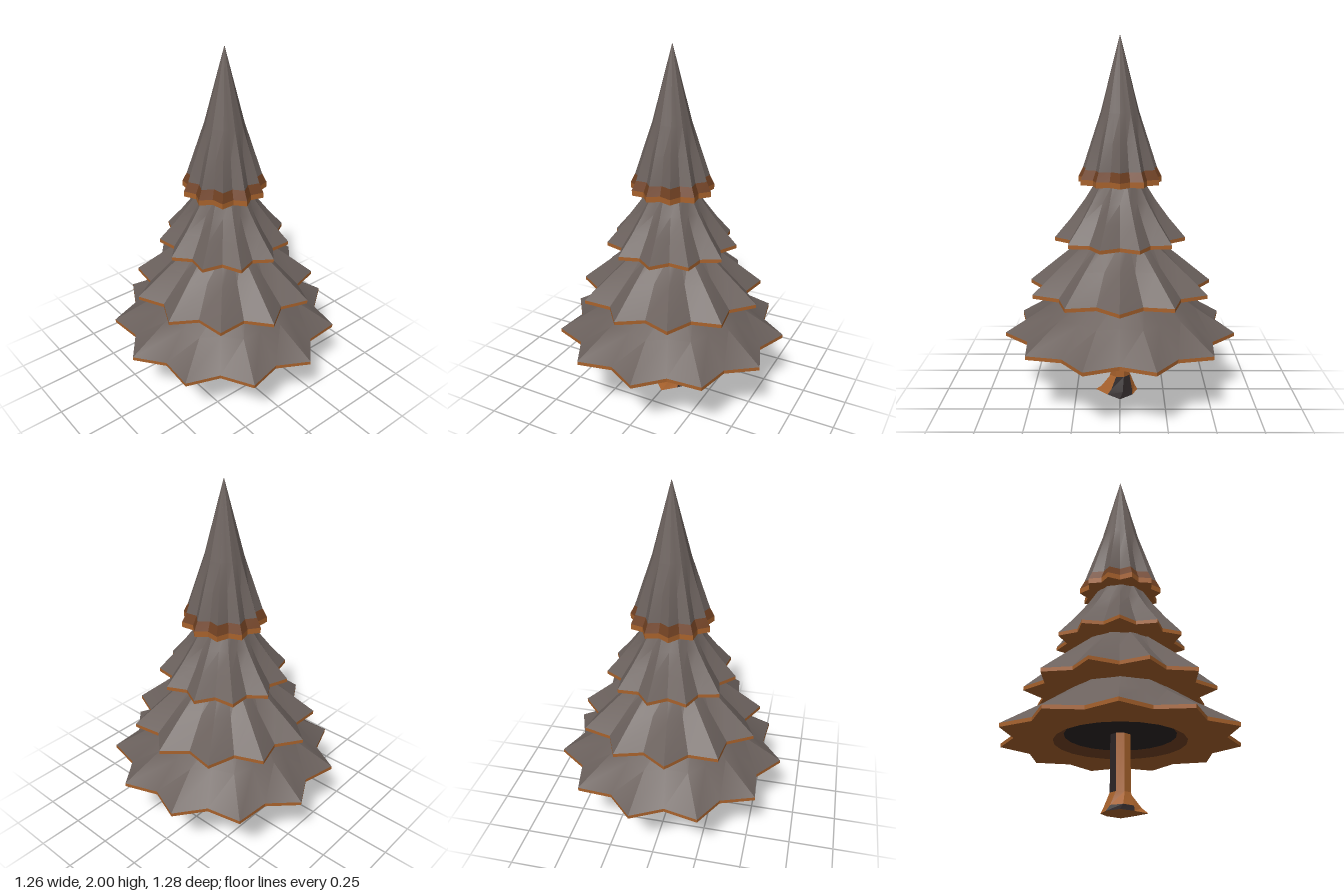
import * as THREE from 'three';
import { toCreasedNormals } from 'three/addons/utils/BufferGeometryUtils.js';

const POINTS = 11;

// Skins a stack of rings; each ring is a list of [x, y, z]. keep(row, column) selects faces.
function skin(rings, crease, keep = () => true) {
  const pos = [];
  const n = rings[0].length;
  for (let i = 0; i < rings.length - 1; i++) {
    for (let j = 0; j < n; j++) {
      if (!keep(i, j)) continue;
      const k = (j + 1) % n;
      const a = rings[i][j], b = rings[i][k], c = rings[i + 1][k], d = rings[i + 1][j];
      pos.push(...a, ...b, ...c, ...a, ...c, ...d);
    }
  }
  const g = new THREE.BufferGeometry();
  g.setAttribute('position', new THREE.Float32BufferAttribute(pos, 3));
  return toCreasedNormals(g, crease);
}

// Star-shaped ring alternating between tip and valley radius
function star([y, tip, valley], phase) {
  return Array.from({ length: POINTS * 2 }, (_, j) => {
    const a = phase + (j * Math.PI) / POINTS;
    const r = j % 2 ? valley : tip;
    return [r * Math.cos(a), y, -r * Math.sin(a)];
  });
}

export function createModel() {
  const mat = (name, color) => {
    const m = new THREE.MeshStandardMaterial({ color });
    m.name = name;
    return m;
  };
  const foliage = mat('grey foliage', 0x6b615d);
  const wood = mat('warm brown', 0xa8622c);
  const band = mat('dark brown', 0x6f4022);
  const dark = mat('dark bark', 0x2c2526);

  const model = new THREE.Group();
  model.name = 'tree';
  const add = (parent, name, geometry, material) => {
    const m = new THREE.Mesh(geometry, material);
    m.name = name;
    parent.add(m);
  };

  // Tiers: underside height, inner radius, and rows [y, tip radius, valley radius] from rim to top
  const tiers = [
    { name: 'bottomTier', phase: Math.PI, base: 0.365, inner: 0.35,
      rows: [[0.385, 0.645, 0.55], [0.52, 0.425, 0.39], [0.64, 0.25, 0.24]] },
    { name: 'lowerTier', phase: 0, base: 0.625, inner: 0.2,
      rows: [[0.645, 0.515, 0.425], [0.79, 0.34, 0.285], [0.92, 0.18, 0.175]] },
    { name: 'upperTier', phase: Math.PI, base: 0.905, inner: 0.15,
      rows: [[0.925, 0.36, 0.295], [1.03, 0.27, 0.225], [1.13, 0.195, 0.17], [1.24, 0.125, 0.12]] },
    { name: 'topTier', phase: 0, base: 1.22, inner: 0.1, banded: true,
      rows: [[1.25, 0.23, 0.19], [1.3, 0.205, 0.168], [1.45, 0.155, 0.132], [1.6, 0.105, 0.1], [2, 0.001, 0.001]] },
  ];

  for (const t of tiers) {
    const g = new THREE.Group();
    g.name = t.name;
    model.add(g);
    const rings = t.rows.map((r) => star(r, t.phase));
    const [, tip, valley] = t.rows[0];
    const lower = star([t.base, tip, valley], t.phase);
    const hole = star([t.base, t.inner, t.inner], t.phase);
    add(g, 'needles', skin(t.banded ? rings.slice(1) : rings, 0.55), foliage);
    if (t.banded) add(g, 'rimBand', skin(rings.slice(0, 2), 0.2), band);
    add(g, 'rimAndUnderside', skin([hole, lower, rings[0]], 0.2), wood);
  }

  // Shallow recess under the bottom tier
  const disc = (y, r) => star([y, r, r], Math.PI);
  add(model, 'recessWall', skin([disc(0.4, 0.295), disc(0.365, 0.35)], 0.5), band);
  add(model, 'recessCeiling', skin([disc(0.4, 0.001), disc(0.4, 0.295)], 0.5), dark);

  // Eight-sided trunk with irregular roots, counter-clockwise from +x
  const roots = [0.13, 0.1, 0.1, 0.1, 0.12, 0.1, 0.14, 0.1];
  const trunkRing = (y, flare, r) => roots.map((root, j) => {
    const a = (j * Math.PI) / 4 + Math.PI / 8 * (1 - flare);
    const rr = r + (root - r) * flare;
    return [0.003 + rr * Math.cos(a), y, -rr * Math.sin(a)];
  });
  const trunk = [
    trunkRing(0, 0, 0.001), trunkRing(0, 1, 0.06), trunkRing(0.03, 0.6, 0.06),
    trunkRing(0.1, 0, 0.058), trunkRing(0.41, 0, 0.056),
  ];
  // Dark bark: one panel up the front and back, and patches on the roots
  const isDark = (i, j) => (i === 3 && (j === 5 || j === 2)) ||
    (i === 1 && [0, 3, 4, 7].includes(j)) || (i === 2 && [0, 7].includes(j));
  add(model, 'trunk', skin(trunk, 0.3, (i, j) => !isDark(i, j)), wood);
  add(model, 'darkBark', skin(trunk, 0.3, isDark), dark);

  return model;
}
